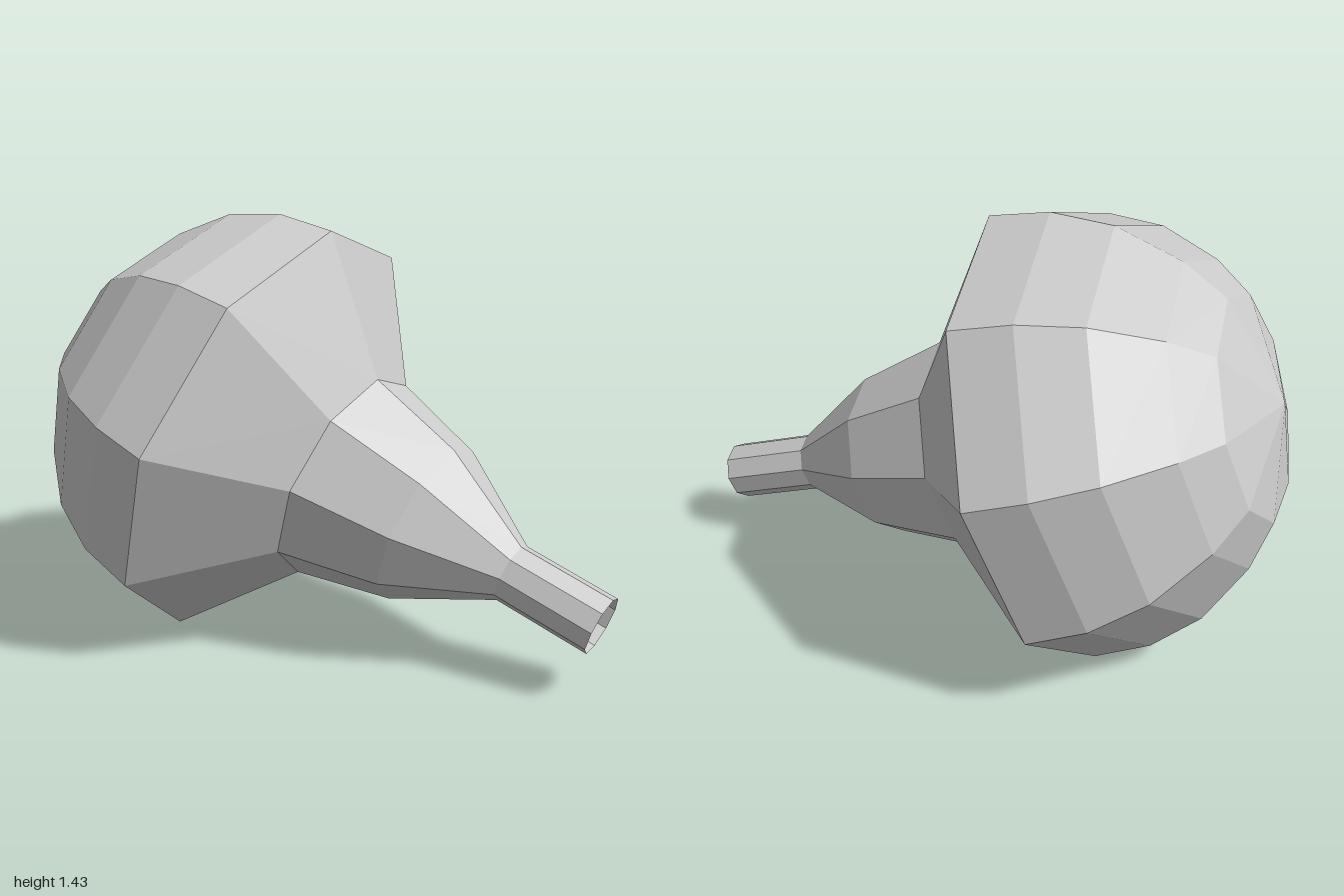
import * as THREE from 'three';

const SIDES = 9;

export function createModel() {
  const group = new THREE.Group();
  const material = new THREE.MeshStandardMaterial({
    color: 0xcccccc, flatShading: true, side: THREE.DoubleSide,
  });

  // Each part is a nine-sided lathe; profile points are [radius, distance along the axis].
  const addPart = (name, profile) => {
    const points = profile.map(([r, t]) => new THREE.Vector2(r, t));
    const mesh = new THREE.Mesh(new THREE.LatheGeometry(points, SIDES), material);
    mesh.name = name;
    group.add(mesh);
  };

  // rounded bulb, from its pole to the widest rim
  addPart('bulb', [[0, -0.758], [0.363, -0.668], [0.5, -0.567], [0.65, -0.388], [0.731, -0.2], [0.759, 0]]);
  // steep shoulder closing in from the rim
  addPart('shoulder', [[0.759, 0], [0.373, 0.318]]);
  // tapering neck
  addPart('neck', [[0.373, 0.318], [0.284, 0.648], [0.1, 0.971]]);
  // open tube at the end, closed off at its inner end
  addPart('spout', [[0.1, 0.971], [0.1, 1.3]]);
  addPart('spoutFloor', [[0, 0.971], [0.1, 0.971]]);

  // lay the axis over to the left, tilted down and slightly back
  const axis = new THREE.Vector3(1.22, -0.432, -0.085).normalize();
  const up = new THREE.Vector3(-axis.y, axis.x, 0).normalize();
  const across = new THREE.Vector3().crossVectors(axis, up);
  group.quaternion.setFromRotationMatrix(new THREE.Matrix4().makeBasis(across, axis, up));
  group.position.set(-0.255, 0.68, 0);

  const model = new THREE.Group();
  model.name = 'bulbWithSpout';
  model.add(group);
  return model;
}
